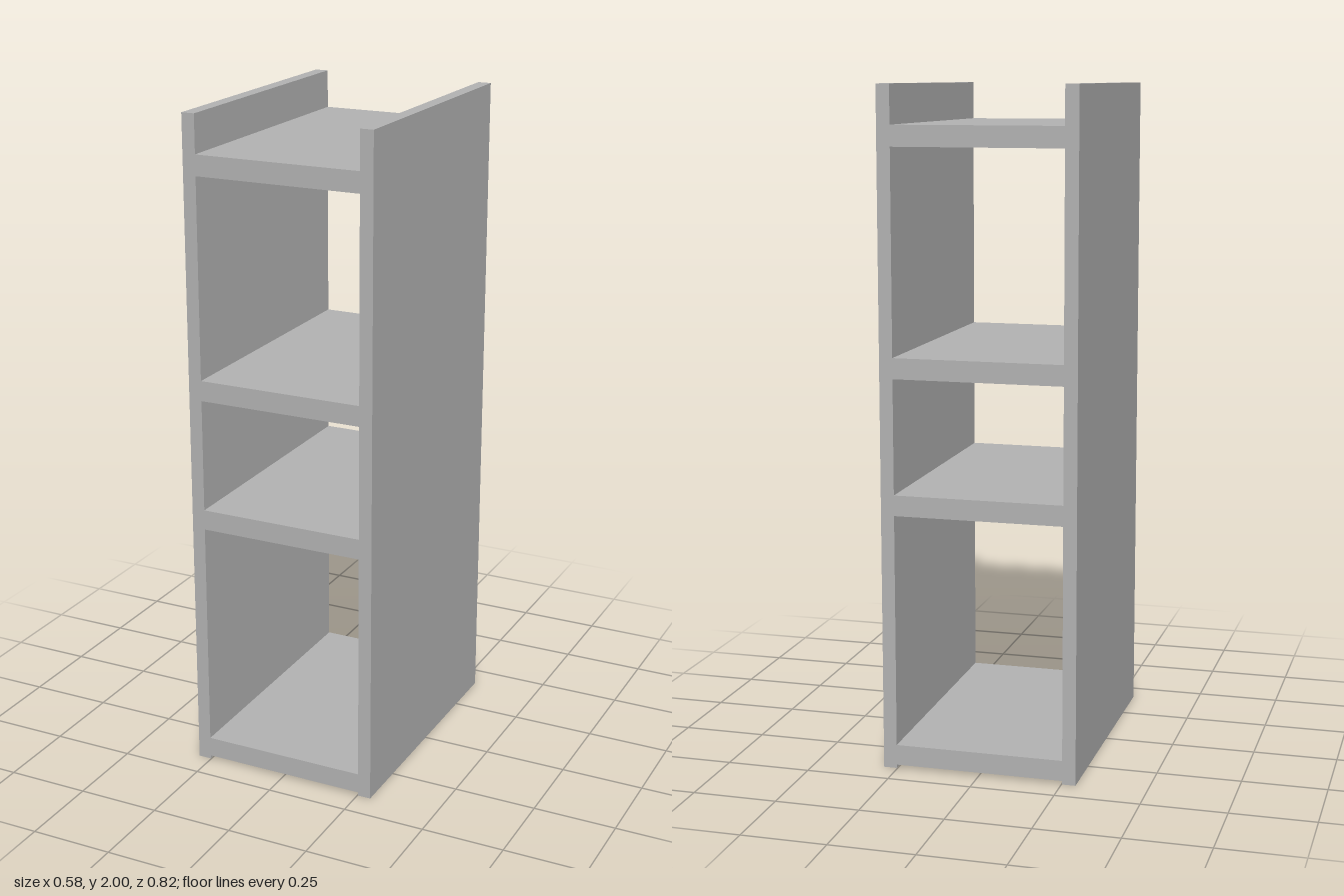
import * as THREE from 'three';

export function createModel() {
  const group = new THREE.Group();
  group.name = 'shelfUnit';
  const grey = new THREE.MeshStandardMaterial({ color: 0xb2b2b2 });
  grey.name = 'plain grey';

  const depth = 0.824, outer = 0.292, inner = 0.252;

  const addBoard = (name, width, height, x, y) => {
    const mesh = new THREE.Mesh(new THREE.BoxGeometry(width, height, depth), grey);
    mesh.name = name;
    mesh.position.set(x, y, 0);
    group.add(mesh);
  };

  // Two full-height side panels
  for (const side of [1, -1]) {
    addBoard(side > 0 ? 'leftPanel' : 'rightPanel', outer - inner, 2, side * (outer + inner) / 2, 1);
  }

  // Boards spanning the panels, open at front and back
  const boards = { bottomBoard: 0.041, lowerShelf: 0.797, upperShelf: 1.198, topBoard: 1.856 };
  for (const [name, y] of Object.entries(boards)) addBoard(name, inner * 2, 0.061, 0, y);

  return group;
}
